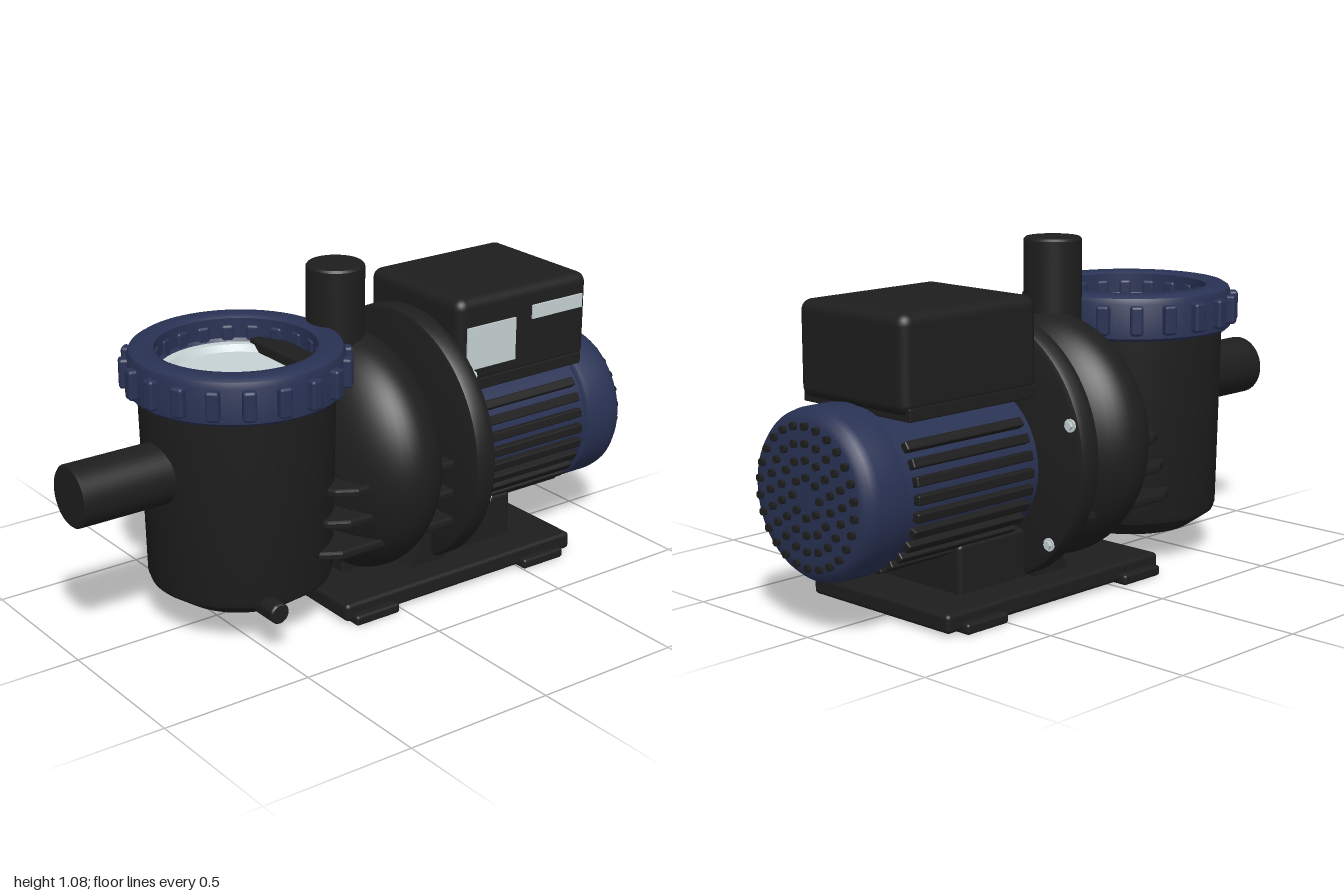
import * as THREE from 'three';
import { toCreasedNormals } from 'three/addons/utils/BufferGeometryUtils.js';
import { RoundedBoxGeometry } from 'three/addons/geometries/RoundedBoxGeometry.js';

export function createModel() {
  const model = new THREE.Group();
  model.name = 'poolPump';
  const material = (name, color) => {
    const m = new THREE.MeshStandardMaterial({ color });
    m.name = name;
    return m;
  };
  const black = material('blackPlastic', 0x1e1e1e);
  const blue = material('bluePlastic', 0x293254);
  const grey = material('paleGrey', 0xc6d2d4);

  const add = (name, geometry, mat, x = 0, y = 0, z = 0, parent = model) => {
    const mesh = new THREE.Mesh(geometry, mat);
    mesh.name = name;
    mesh.position.set(x, y, z);
    parent.add(mesh);
    return mesh;
  };
  // rounded box given by its limits on each axis
  const block = (name, mat, x0, x1, y0, y1, z0, z1, r = 0.01) => add(name,
    new RoundedBoxGeometry(x1 - x0, y1 - y0, z1 - z0, 3, r), mat,
    (x0 + x1) / 2, (y0 + y1) / 2, (z0 + z1) / 2);
  // turned part from [radius, height] pairs
  const turned = (points, segments = 64) => toCreasedNormals(
    new THREE.LatheGeometry(points.map(p => new THREE.Vector2(...p)), segments), 0.6);
  // turned part whose height runs along +x
  const turnedX = (points, segments) => turned(points, segments).rotateZ(-Math.PI / 2);
  const shapeOf = points => new THREE.Shape(points.map(p => new THREE.Vector2(...p)));

  // base plate with four side feet
  block('basePlate', black, -0.21, 0.724, 0.008, 0.067, -0.302, 0.302, 0.014);
  for (const [x0, x1] of [[-0.19, -0.02], [0.5, 0.67]])
    for (const s of [-1, 1])
      block('baseFoot', black, x0, x1, 0, 0.034, s * 0.235 - 0.095, s * 0.235 + 0.095, 0.01);

  // strainer pot, a slight taper with a chamfered bottom
  const potX = -0.406;
  add('strainerPot', turned([[0, 0.088], [0.21, 0.088], [0.285, 0.14], [0.292, 0.16],
    [0.305, 0.76], [0.235, 0.76], [0, 0.76]]), black, potX);
  add('lidWindow', turned([[0.245, 0.75], [0.245, 0.815], [0.215, 0.815], [0.2, 0.795], [0, 0.795]]),
    grey, potX);
  block('inletGuard', black, -0.245, -0.16, 0.7, 0.83, -0.175, 0.175);

  // lid ring with grip ribs
  add('lidRing', turned([[0.241, 0.75], [0.322, 0.75], [0.333, 0.76], [0.333, 0.87], [0.326, 0.888],
    [0.31, 0.898], [0.262, 0.898], [0.25, 0.89], [0.25, 0.825], [0.241, 0.815], [0.241, 0.75]]), blue, potX);
  const ribs = new THREE.Group();
  ribs.name = 'lidGripRibs';
  ribs.position.set(potX, 0.82, 0);
  model.add(ribs);
  for (let i = 0; i < 20; i++) {
    const a = (i + 0.5) * Math.PI / 10;
    const rib = add('gripRib', new RoundedBoxGeometry(0.114, 0.095, 0.042, 2, 0.01), blue,
      0.301 * Math.cos(a), 0, 0.301 * Math.sin(a), ribs);
    rib.rotation.y = -a;
  }

  // inlet and outlet pipes, drain plug
  add('inletPipe', turnedX([[0, -1], [0.092, -1], [0.098, -0.994], [0.098, -0.6], [0, -0.6]], 48),
    black, 0, 0.54);
  add('outletPipe', turned([[0, 0.6], [0.093, 0.6], [0.093, 1.073], [0.087, 1.08], [0, 1.08]], 48),
    black, -0.034);
  add('drainPlug', turned([[0, 0], [0.033, 0], [0.033, 0.115], [0.028, 0.12], [0, 0.12]], 24)
    .rotateX(Math.PI / 2), black, -0.487, 0.14, 0.22);

  // volute and the stiffening plates joining it to the pot
  const axisY = 0.457;
  add('volute', new THREE.SphereGeometry(1, 56, 36).scale(0.215, 0.398, 0.41), black, 0.012, axisY);
  [[0.445, -0.25], [0.347, -0.28], [0.25, -0.31]].forEach(([y, x]) => {
    const plate = shapeOf([[x, -0.235], [x + 0.02, -0.27], [x + 0.08, -0.305], [0.21, -0.305],
      [0.21, 0.305], [x + 0.08, 0.305], [x + 0.02, 0.27], [x, 0.235]]);
    const geometry = new THREE.ExtrudeGeometry(plate, {
      depth: 0.012, bevelSize: 0.006, bevelThickness: 0.008, bevelSegments: 2 });
    add('stiffeningPlate', geometry.rotateX(-Math.PI / 2), black, 0, y - 0.006);
  });
  block('volutePedestal', black, -0.08, 0.22, 0.04, 0.25, -0.1, 0.1);

  // flange with six hex bolts
  add('flange', turnedX([[0, 0.203], [0.405, 0.203], [0.42, 0.209], [0.427, 0.225], [0.427, 0.264],
    [0.42, 0.279], [0.405, 0.285], [0, 0.285]], 80), black, 0, axisY);
  for (let i = 0; i < 6; i++) {
    const a = THREE.MathUtils.degToRad(42.7 + i * 60);
    const y = axisY + 0.393 * Math.sin(a), z = 0.393 * Math.cos(a);
    add('boltWasher', turnedX([[0, 0], [0.021, 0], [0.021, 0.006], [0, 0.006]], 20), grey, 0.283, y, z);
    add('boltHead', turnedX([[0, 0], [0.014, 0], [0.014, 0.012], [0, 0.012]], 6), grey, 0.286, y, z);
  }

  // motor support with a sloping web behind the flange
  block('motorSupport', black, 0.2, 0.558, 0.05, 0.22, -0.18, 0.18, 0.015);
  add('supportWeb', new THREE.ExtrudeGeometry(
    shapeOf([[0.11, 0.06], [0.26, 0.06], [0.26, 0.22], [0.2, 0.22]]),
    { depth: 0.41, bevelEnabled: false }), black, 0, 0, -0.205);

  // motor body with cooling fins, leaving the top bare
  const motorY = 0.416;
  add('motorBody', turnedX([[0, 0.27], [0.243, 0.27], [0.243, 0.84], [0, 0.84]]), blue, 0, motorY);
  for (let deg = -216; deg <= 36; deg += 12) {
    const a = THREE.MathUtils.degToRad(deg);
    const fin = add('coolingFin', new RoundedBoxGeometry(0.474, 0.03, 0.05, 2, 0.005), black,
      0.559, motorY + 0.24 * Math.sin(a), 0.24 * Math.cos(a));
    fin.rotation.x = -a;
  }

  // fan cover with rings of vents
  add('fanCover', turnedX([[0, 0.823], [0.245, 0.823], [0.257, 0.831], [0.26, 0.85], [0.26, 0.935],
    [0.255, 0.96], [0.242, 0.977], [0.225, 0.985], [0.2, 0.988], [0, 0.988]]), blue, 0, motorY);
  [[0.06, 8], [0.111, 14], [0.16, 20], [0.21, 26]].forEach(([r, n]) => {
    for (let i = 0; i < n; i++) {
      const a = Math.PI / 2 + i * 2 * Math.PI / n;
      add('fanVent', turnedX([[0, 0.975], [0.012, 0.975], [0.012, 1], [0, 1]], 12), black,
        0, motorY + r * Math.sin(a), r * Math.cos(a));
    }
  });

  // terminal box on its saddle, with two labels
  block('terminalBox', black, 0.274, 0.82, 0.655, 0.952, -0.234, 0.234, 0.035);
  block('terminalSaddle', black, 0.28, 0.8, 0.64, 0.68, -0.234, 0.234, 0.004);
  add('largeLabel', new THREE.BoxGeometry(0.2, 0.142, 0.008), grey, 0.408, 0.788, 0.236);
  add('smallLabel', new THREE.BoxGeometry(0.213, 0.046, 0.008), grey, 0.684, 0.862, 0.236);

  return model;
}
